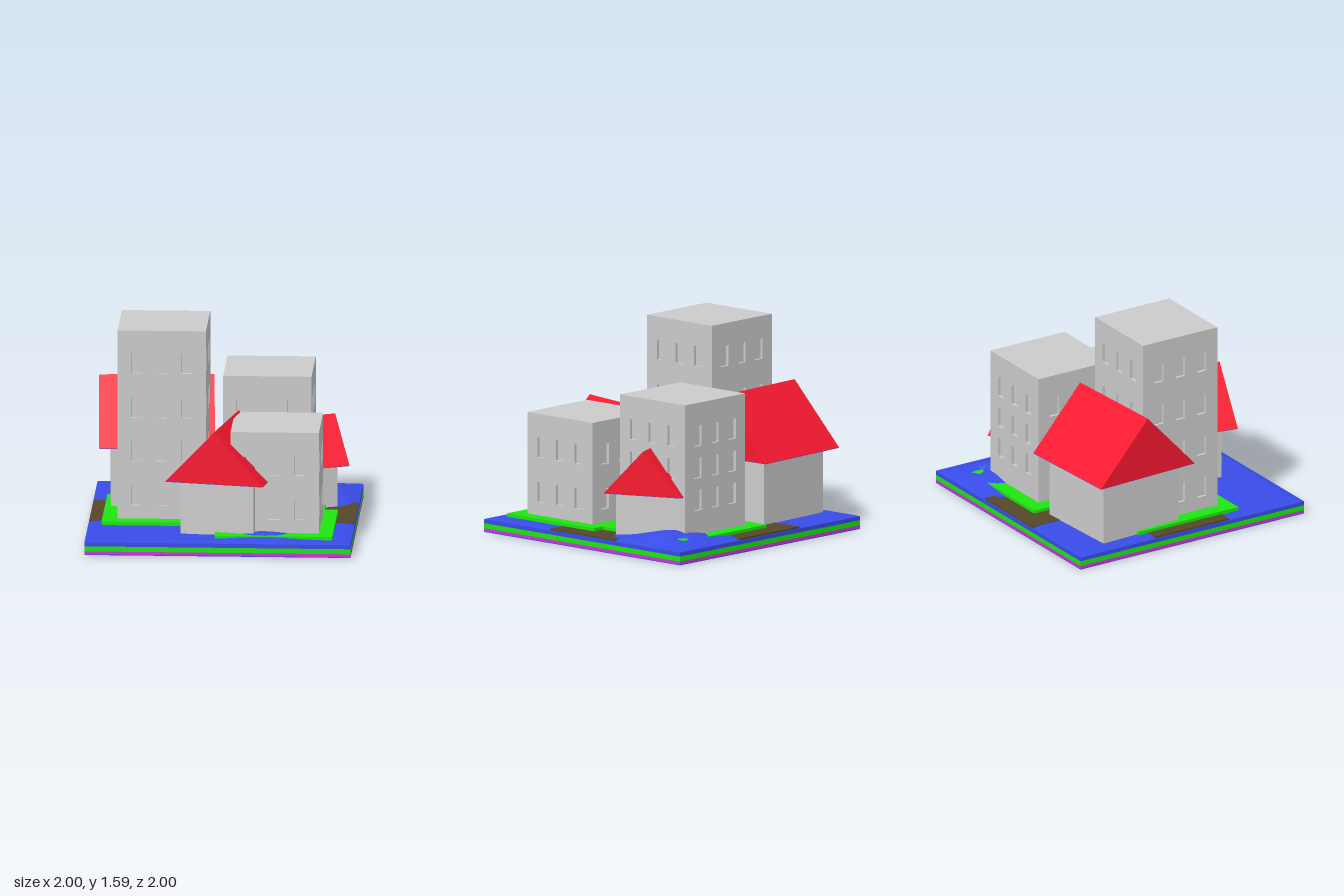
import * as THREE from 'three';

const paint = (color) => new THREE.MeshStandardMaterial({ color, flatShading: true });
const GREY = paint(0xcccccc), RED = paint(0xf8182f), BLUE = paint(0x384ce8);
const GREEN = paint(0x1ee612), BROWN = paint(0x554728), MAGENTA = paint(0xcc33dd);

function add(parent, name, geometry, material, x = 0, y = 0, z = 0) {
  const mesh = new THREE.Mesh(geometry, material);
  mesh.name = name;
  mesh.position.set(x, y, z);
  parent.add(mesh);
  return mesh;
}

// Box given by its centre in plan and its bottom and top heights
function block(parent, name, material, w, d, y0, y1, x = 0, z = 0) {
  return add(parent, name, new THREE.BoxGeometry(w, y1 - y0, d), material, x, (y0 + y1) / 2, z);
}

// Square tower: four pierced wall panels set pinwheel-fashion around a core
function tower(name, x, z, top, rows) {
  const W = 0.664, T = 0.022, Y0 = 0.1;
  const group = new THREE.Group();
  group.name = name;
  group.position.set(x, 0, z);
  block(group, 'towerCore', GREY, W - 2 * T, W - 2 * T, Y0, top);

  const wall = new THREE.Shape([
    new THREE.Vector2(-W / 2, Y0), new THREE.Vector2(W / 2 - T, Y0),
    new THREE.Vector2(W / 2 - T, top), new THREE.Vector2(-W / 2, top),
  ]);
  for (const row of rows) {
    for (const col of [-0.19, 0, 0.19]) {
      const [hw, hh] = [0.04, 0.077];
      wall.holes.push(new THREE.Path([
        new THREE.Vector2(col - hw, row - hh), new THREE.Vector2(col - hw, row + hh),
        new THREE.Vector2(col + hw, row + hh), new THREE.Vector2(col + hw, row - hh),
      ]));
    }
  }
  const panel = new THREE.ExtrudeGeometry(wall, { depth: T, bevelEnabled: false });
  panel.translate(0, 0, W / 2 - T);
  for (let i = 0; i < 4; i++) {
    add(group, 'windowedWall', panel, GREY).rotation.y = i * Math.PI / 2;
  }
  return group;
}

// Square house with a gabled roof; the ridge runs along local x
function house(name, x, z, turn, wallHalf, roofHalf, eave, ridge) {
  const group = new THREE.Group();
  group.name = name;
  group.position.set(x, 0, z);
  group.rotation.y = turn;
  block(group, 'houseWalls', GREY, 2 * wallHalf, 2 * wallHalf, 0.1, eave);
  block(group, 'roofSoffit', BLUE, 2 * roofHalf - 0.004, 2 * roofHalf - 0.004, eave - 0.003, eave + 0.003);
  const gable = new THREE.Shape([
    new THREE.Vector2(-roofHalf, eave), new THREE.Vector2(roofHalf, eave), new THREE.Vector2(0, ridge),
  ]);
  const roof = new THREE.ExtrudeGeometry(gable, { depth: 2 * roofHalf, bevelEnabled: false });
  roof.translate(0, 0, -roofHalf);
  roof.rotateY(Math.PI / 2);
  add(group, 'gableRoof', roof, RED);
  return group;
}

// Gently rolling ground, lowered at the rim
function groundSurface() {
  const geometry = new THREE.PlaneGeometry(2, 2, 40, 40);
  geometry.rotateX(-Math.PI / 2);
  const mounds = [[0.68, -0.64, 0.068, 0.19], [0.34, 0.7, 0.044, 0.2], [0.73, -0.77, -0.04, 0.04]];
  const p = geometry.attributes.position;
  for (let i = 0; i < p.count; i++) {
    const x = p.getX(i), z = p.getZ(i);
    const rim = Math.max(Math.abs(x), Math.abs(z));
    let y = rim > 0.99 ? 0.098 : 0.108;
    for (const [mx, mz, h, s] of mounds) {
      const fade = Math.min(1, (1 - rim) / 0.12);
      y += fade * h * Math.exp(-((x - mx) ** 2 + (z - mz) ** 2) / (2 * s * s));
    }
    p.setY(i, y);
  }
  geometry.computeVertexNormals();
  return geometry;
}

export function createModel() {
  const model = new THREE.Group();
  model.name = 'townBlock';

  // Layered base slab
  block(model, 'baseUnderside', BLUE, 2, 2, 0, 0.005);
  block(model, 'baseLowerLayer', MAGENTA, 2, 2, 0.005, 0.028);
  block(model, 'baseMiddleLayer', GREEN, 2, 2, 0.028, 0.067);
  block(model, 'baseUpperLayer', BLUE, 2, 2, 0.067, 0.098);
  add(model, 'groundSurface', groundSurface(), BLUE);

  // Paths leading in from three edges
  block(model, 'pathAcross', BROWN, 1.99, 0.66, 0.09, 0.111);
  block(model, 'pathBack', BROWN, 0.66, 0.995, 0.09, 0.111, 0, -0.4975);

  // Towers, each on its own square lawn
  const towers = [
    ['tallTower', -0.45, 0.033, 1.585, [0.313, 0.655, 0.988, 1.333]],
    ['middleTower', 0.322, -0.403, 1.14, [0.395, 0.64, 0.887]],
    ['lowTower', 0.42, 0.452, 0.91, [0.313, 0.655]],
  ];
  for (const [name, x, z, top, rows] of towers) {
    block(model, 'lawn', GREEN, 0.885, 0.89, 0.09, 0.135, x - 0.005, z);
    model.add(tower(name, x, z, top, rows));
  }

  // Red-roofed houses tucked against the towers
  model.add(house('backHouse', -0.524, -0.393, 0.052, 0.347, 0.434, 0.6, 1.07));
  model.add(house('frontHouse', 0.042, 0.5, -0.2 + Math.PI / 2, 0.282, 0.377, 0.525, 0.925));
  model.add(house('sideHouse', 0.527, -0.327, 0.403, 0.24, 0.312, 0.435, 0.77));

  return model;
}
